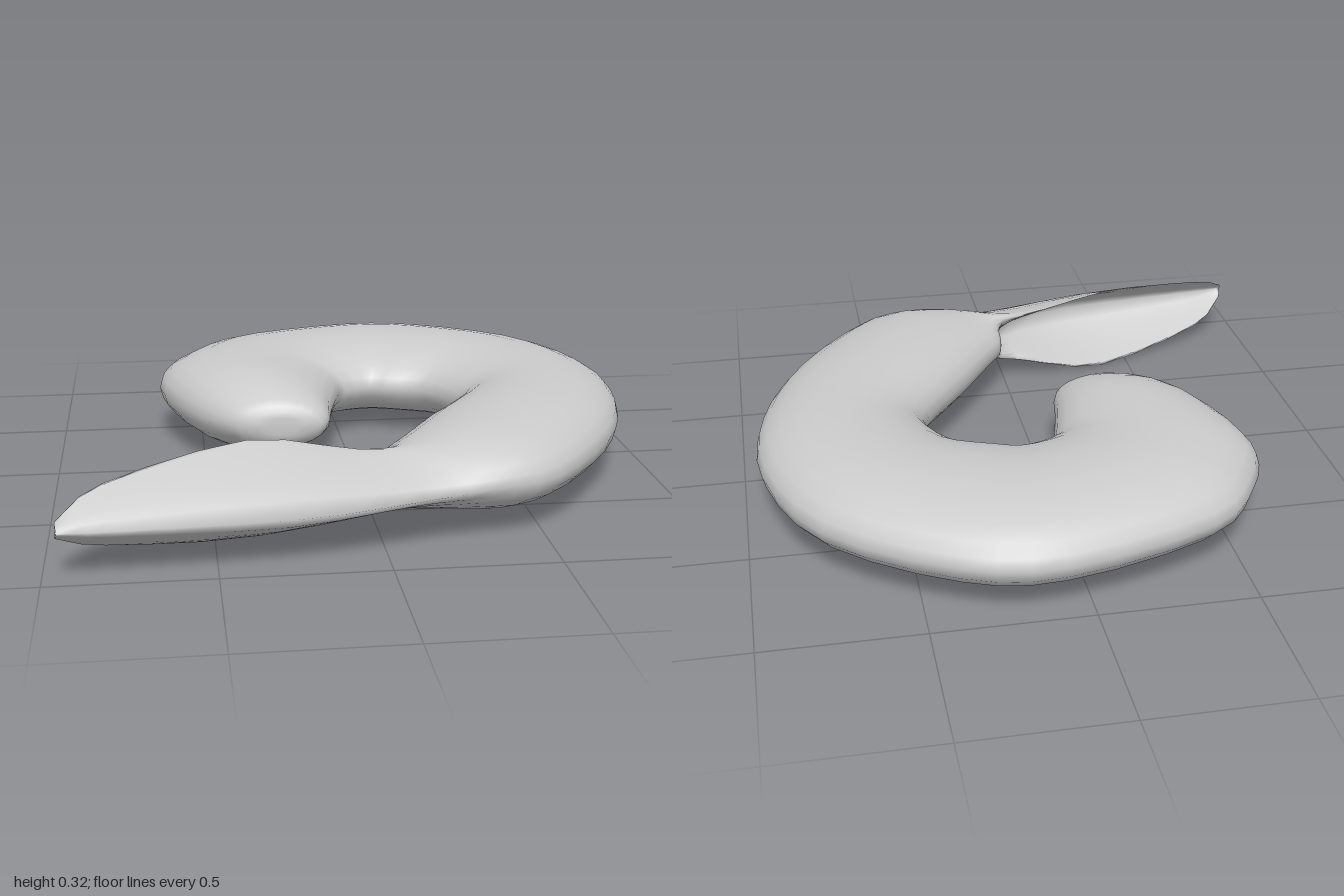
import * as THREE from 'three';

// Stations from blunt end to tail tip: inner x, inner z, outer x, outer z, half height
const STATIONS = [
  [-0.17, 0.12, -0.33, 0.115, 0.03],
  [-0.09, 0.09, -0.43, 0.07, 0.085],
  [-0.06, -0.06, -0.56, -0.12, 0.135],
  [-0.01, -0.26, -0.65, -0.43, 0.145],
  [0.03, -0.30, -0.58, -0.65, 0.145],
  [0.07, -0.315, -0.40, -0.85, 0.145],
  [0.12, -0.325, 0.08, -1.0, 0.145],
  [0.18, -0.30, 0.40, -0.95, 0.145],
  [0.30, -0.255, 0.78, -0.67, 0.145],
  [0.38, -0.10, 0.94, -0.30, 0.145],
  [0.36, 0.03, 0.93, 0.05, 0.145],
  [0.20, 0.26, 0.80, 0.40, 0.143],
  [0.08, 0.45, 0.55, 0.74, 0.127],
  [0.00, 0.55, 0.33, 0.83, 0.10],
  [-0.10, 0.595, 0.12, 0.875, 0.095],
  [-0.40, 0.68, -0.27, 0.965, 0.154],
  [-0.82, 0.85, -0.78, 0.995, 0.095],
  [-0.955, 0.965, -0.95, 0.997, 0.025],
];
const SPANS = STATIONS.length - 1;
const RINGS = SPANS * 3;
const SIDES = 24;

// Smooth rail through the stations; its y carries the half height
function rail(toPoint) {
  return new THREE.CatmullRomCurve3(STATIONS.map(toPoint), false, 'catmullrom', 0.5);
}

// Section point: u runs inner (-1) to outer (1), v is the height;
// hollow turns the oval (0) into a V open to the inside (1)
function sectionPoint(a, hollow) {
  const c = Math.cos(a), v = Math.sin(a);
  const slope = 1 - Math.pow(Math.abs(v), 1.35);
  const vee = -1 + (c > -1e-6 ? 2 : 1.6) * slope;
  return [THREE.MathUtils.lerp(c, vee, hollow), v];
}

function curledGeometry() {
  const inner = rail(([x, z, , , h]) => new THREE.Vector3(x, h, z));
  const outer = rail(([, , x, z, h]) => new THREE.Vector3(x, h, z));
  const pos = [], index = [];

  for (let i = 0; i <= RINGS; i++) {
    const t = i / RINGS;
    const p = inner.getPoint(t), q = outer.getPoint(t);
    const hollow = THREE.MathUtils.smoothstep(t * SPANS, 12.6, 15);
    const centreY = THREE.MathUtils.lerp(0.183, 0.163, hollow);
    for (let j = 0; j < SIDES; j++) {
      const [u, v] = sectionPoint((j / SIDES) * Math.PI * 2, hollow);
      const s = (u + 1) / 2;
      pos.push(p.x + (q.x - p.x) * s, centreY + p.y * v, p.z + (q.z - p.z) * s);
    }
  }

  // Skin between neighbouring rings
  for (let i = 0; i < RINGS; i++) {
    for (let j = 0; j < SIDES; j++) {
      const a = i * SIDES + j, b = i * SIDES + ((j + 1) % SIDES);
      index.push(a, b, a + SIDES, b, b + SIDES, a + SIDES);
    }
  }

  // Close both ends by joining the upper and lower halves of the ring
  for (const first of [0, RINGS * SIDES]) {
    for (let j = 0; j < SIDES / 2; j++) {
      const a = first + j, b = a + 1;
      const c = first + ((SIDES - j) % SIDES), d = first + SIDES - j - 1;
      if (first === 0) index.push(a, c, b, b, c, d);
      else index.push(a, b, c, b, d, c);
    }
  }

  const geometry = new THREE.BufferGeometry();
  geometry.setAttribute('position', new THREE.Float32BufferAttribute(pos, 3));
  geometry.setIndex(index);
  geometry.computeVertexNormals();
  return geometry;
}

export function createModel() {
  const group = new THREE.Group();
  group.name = 'curledShrimp';

  // Curled body running into the hollow tail
  const material = new THREE.MeshStandardMaterial({ color: 0xcccccc, side: THREE.DoubleSide });
  const body = new THREE.Mesh(curledGeometry(), material);
  body.name = 'bodyAndTail';
  group.add(body);
  return group;
}
